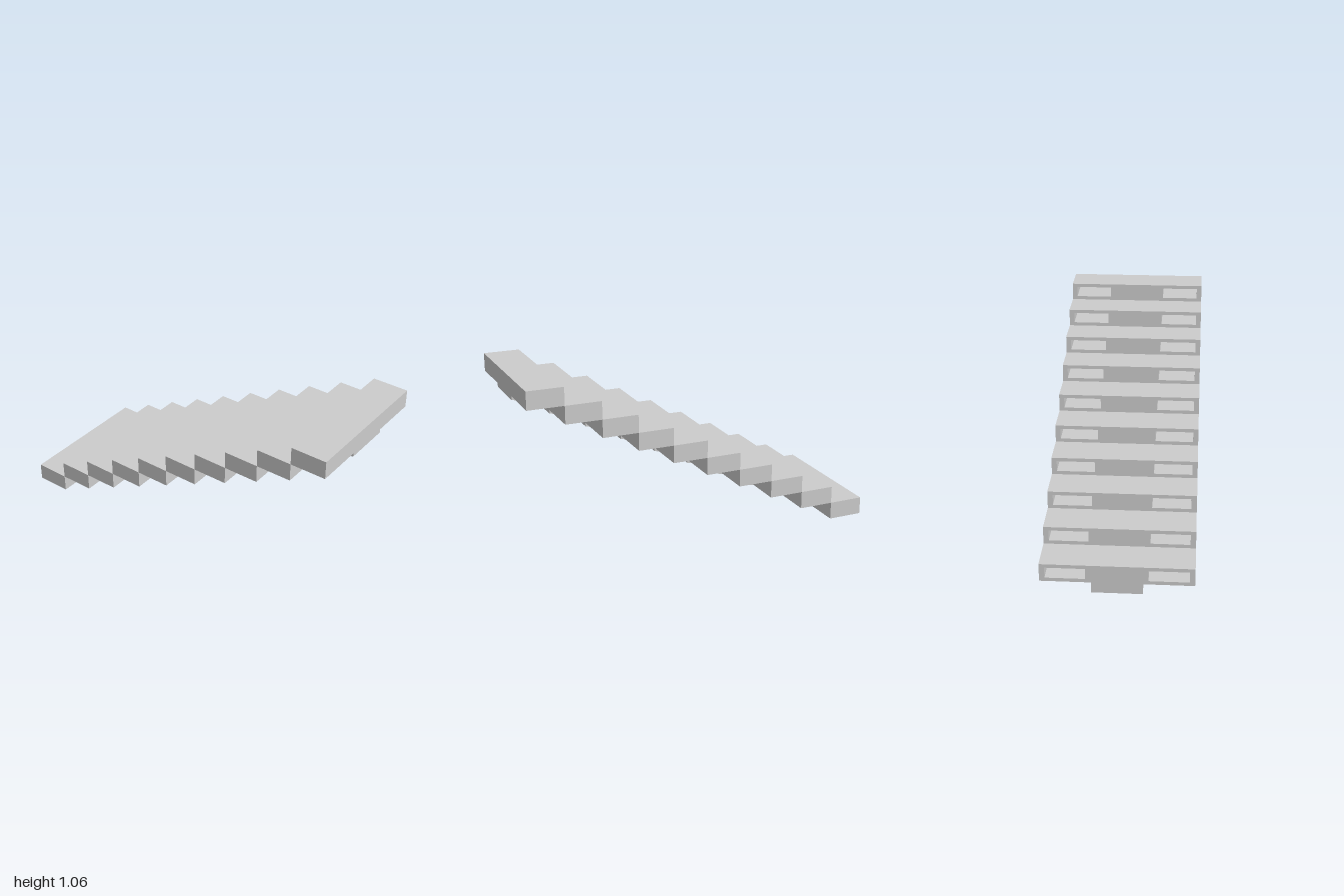
import * as THREE from 'three';

const STEPS = 10, RUN = 0.2, RISE = 0.1, WIDTH = 0.8, UNDER = 0.06;
const BACK = 0.02; // solid wall behind the pockets
const SPINE = WIDTH / 3;

const material = new THREE.MeshStandardMaterial({ color: 0xcccccc, flatShading: true });

function rect(target, x0, y0, x1, y1) {
  target.moveTo(x0, y0);
  target.lineTo(x1, y0);
  target.lineTo(x1, y1);
  target.lineTo(x0, y1);
  target.closePath();
  return target;
}

// Tread block with two rectangular pockets in its riser face (-x)
function treadGeometry() {
  const shape = rect(new THREE.Shape(), -WIDTH / 2, 0, WIDTH / 2, RISE);
  for (const s of [-1, 1]) {
    const c = s * WIDTH / 3;
    shape.holes.push(rect(new THREE.Path(), c - 0.105, 0.02, c + 0.105, 0.08));
  }
  return new THREE.ExtrudeGeometry(shape, { depth: RUN - BACK, bevelEnabled: false })
    .rotateY(Math.PI / 2);
}

// Central support under a tread, with a sloping underside
function supportGeometry() {
  const shape = new THREE.Shape();
  shape.moveTo(0, -UNDER);
  shape.lineTo(RUN, -0.02);
  shape.lineTo(RUN, 0);
  shape.lineTo(0, 0);
  shape.closePath();
  return new THREE.ExtrudeGeometry(shape, { depth: SPINE, bevelEnabled: false })
    .translate(0, 0, -SPINE / 2);
}

export function createModel() {
  const model = new THREE.Group();
  model.name = 'staircase';

  const parts = {
    tread: treadGeometry(),
    treadBackWall: new THREE.BoxGeometry(BACK, RISE, WIDTH)
      .translate(RUN - BACK / 2, RISE / 2, 0),
    support: supportGeometry(),
  };

  for (let i = 0; i < STEPS; i++) {
    const step = new THREE.Group();
    step.name = `step${i + 1}`;
    for (const [name, geometry] of Object.entries(parts)) {
      const mesh = new THREE.Mesh(geometry, material);
      mesh.name = name;
      step.add(mesh);
    }
    step.position.set(-1 + i * RUN, UNDER + i * RISE, 0);
    model.add(step);
  }
  return model;
}
